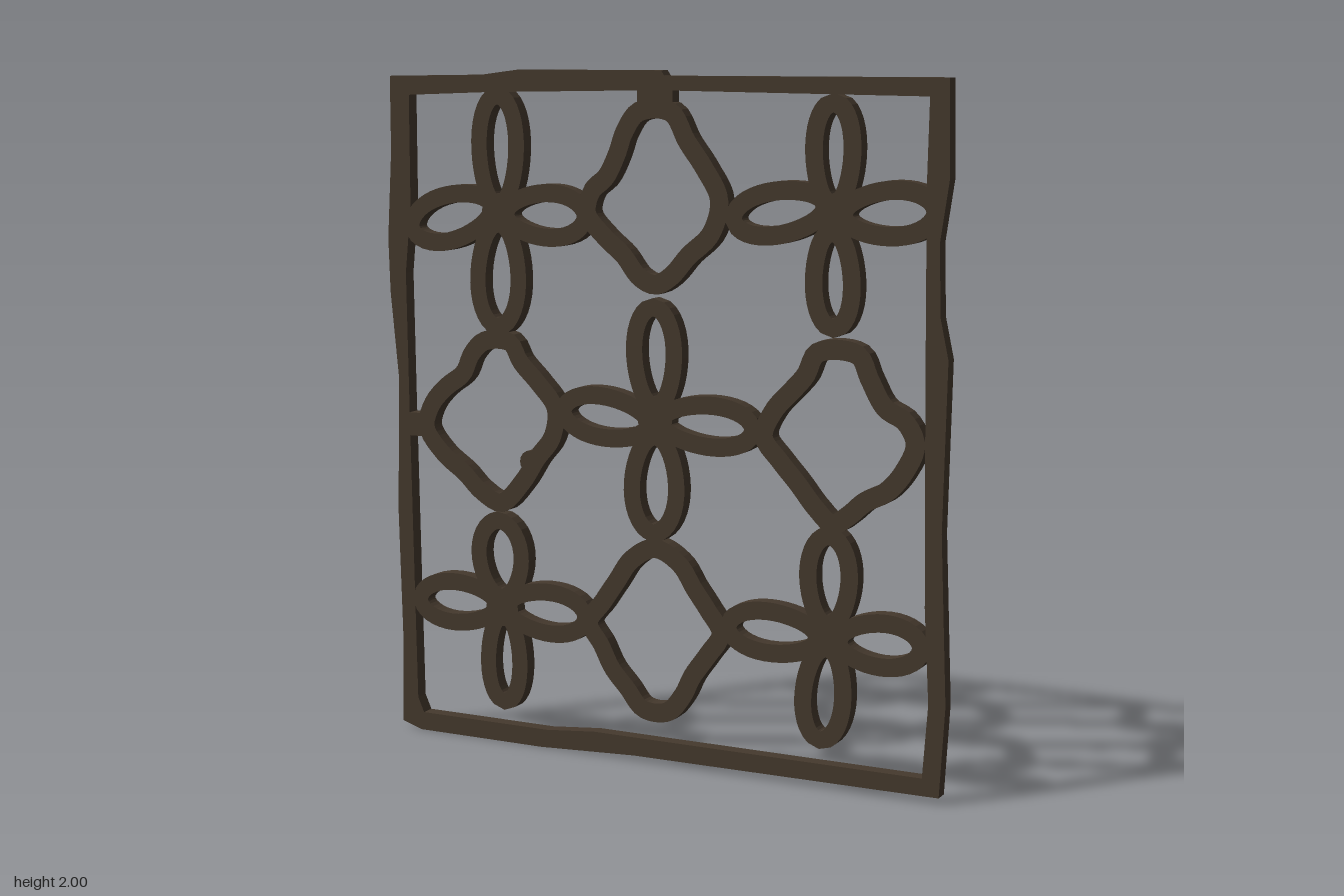
import * as THREE from 'three';

const DEPTH = 0.042;
const material = new THREE.MeshStandardMaterial({ color: 0x45392d, flatShading: true });
const vec = (list) => list.map(([x, y]) => new THREE.Vector2(x, y));

// flat plate cut from a clockwise outline, with a clockwise opening that is
// turned counter-clockwise so its walls face into the opening
function plate(name, outer, opening) {
  const shape = new THREE.Shape(outer);
  shape.holes.push(new THREE.Path([...opening].reverse()));
  const geo = new THREE.ExtrudeGeometry(shape, { depth: DEPTH, bevelEnabled: false });
  geo.translate(0, 0, -DEPTH / 2);
  const mesh = new THREE.Mesh(geo, material);
  mesh.name = name;
  return mesh;
}

// shift a closed clockwise loop outwards by d (negative = inwards)
function offset(loop, d) {
  const n = loop.length;
  return loop.map((p, i) => {
    const t = loop[(i + 1) % n].clone().sub(loop[(i + n - 1) % n]).normalize();
    return new THREE.Vector2(p.x - t.y * d, p.y + t.x * d);
  });
}

// wavy diamond ring following a closed centre line
function diamond(name, points) {
  const curve = new THREE.CatmullRomCurve3(
    points.map(([x, y]) => new THREE.Vector3(x, y, 0)), true, 'centripetal');
  const loop = curve.getSpacedPoints(80).slice(0, -1).map((p) => new THREE.Vector2(p.x, p.y));
  return plate(name, offset(loop, 0.028), offset(loop, -0.028));
}

// petal ring around a leaf-shaped opening running from base to tip
function petal(name, [x0, y0, x1, y1, half]) {
  const a = new THREE.Vector2(x1 - x0, y1 - y0).multiplyScalar(0.5);
  const side = new THREE.Vector2(-a.y, a.x).normalize();
  const opening = [];
  for (let i = 0; i < 32; i++) {
    const t = (-i / 32) * Math.PI * 2;
    const s = Math.sin(t);
    const w = half * Math.sign(s) * Math.abs(s) ** 1.25 * (1 + 0.15 * Math.cos(t));
    opening.push(new THREE.Vector2((x0 + x1) / 2, (y0 + y1) / 2)
      .addScaledVector(a, Math.cos(t)).addScaledVector(side, w));
  }
  return plate(name, offset(opening, 0.052), opening);
}

function disc(name, x, y, r) {
  const geo = new THREE.CylinderGeometry(r, r, DEPTH, 16).rotateX(Math.PI / 2);
  const mesh = new THREE.Mesh(geo, material);
  mesh.name = name;
  mesh.position.set(x, y, 0);
  return mesh;
}

function bar(name, x, y, w, h) {
  const mesh = new THREE.Mesh(new THREE.BoxGeometry(w, h, DEPTH), material);
  mesh.name = name;
  mesh.position.set(x, y, 0);
  return mesh;
}

// flower: centre, then the openings of the top, bottom, right and left petals
const FLOWERS = {
  upperRightFlower: [-0.51, 1.59,
    [-0.51, 1.64, -0.51, 1.9, 0.036], [-0.51, 1.53, -0.515, 1.28, 0.042],
    [-0.56, 1.6, -0.78, 1.54, 0.04], [-0.455, 1.585, -0.25, 1.585, 0.038]],
  upperLeftFlower: [0.54, 1.605,
    [0.54, 1.67, 0.54, 1.89, 0.03], [0.54, 1.54, 0.545, 1.33, 0.03],
    [0.49, 1.635, 0.27, 1.595, 0.034], [0.6, 1.615, 0.81, 1.63, 0.036]],
  centreFlower: [0, 1.01,
    [0, 1.08, -0.005, 1.31, 0.037], [0, 0.94, -0.005, 0.71, 0.045],
    [-0.05, 1, -0.27, 1.02, 0.034], [0.05, 1.01, 0.28, 1.005, 0.033]],
  lowerRightFlower: [-0.51, 0.41,
    [-0.51, 0.47, -0.52, 0.65, 0.046], [-0.505, 0.36, -0.505, 0.15, 0.028],
    [-0.56, 0.415, -0.77, 0.41, 0.036], [-0.465, 0.415, -0.255, 0.41, 0.036]],
  lowerLeftFlower: [0.54, 0.445,
    [0.54, 0.5, 0.54, 0.7, 0.036], [0.535, 0.38, 0.52, 0.165, 0.034],
    [0.48, 0.43, 0.26, 0.435, 0.034], [0.6, 0.43, 0.79, 0.435, 0.036]],
};

// centre lines, clockwise from the top
const DIAMONDS = {
  topDiamond: [[-.05, 1.885], [.05, 1.885], [.1, 1.805], [.155, 1.73], [.2, 1.645], [.175, 1.55],
    [.105, 1.485], [.05, 1.425], [0, 1.4], [-.05, 1.42], [-.1, 1.48], [-.16, 1.53],
    [-.215, 1.595], [-.2, 1.66], [-.155, 1.7], [-.12, 1.765], [-.095, 1.83]],
  bottomDiamond: [[0, .64], [.08, .6], [.125, .535], [.17, .475], [.21, .41], [.17, .345],
    [.12, .275], [.09, .215], [.04, .16], [-.04, .16], [-.09, .215], [-.14, .27],
    [-.175, .335], [-.215, .4], [-.17, .465], [-.125, .53], [-.075, .6]],
  rightDiamond: [[-.56, 1.21], [-.475, 1.21], [-.44, 1.155], [-.38, 1.095], [-.325, 1.025],
    [-.335, .94], [-.385, .875], [-.435, .8], [-.51, .73], [-.58, .76], [-.635, .81],
    [-.71, .865], [-.765, .94], [-.745, 1.01], [-.695, 1.065], [-.635, 1.11], [-.605, 1.17]],
  leftDiamond: [[.5, 1.235], [.62, 1.235], [.655, 1.17], [.7, 1.095], [.76, 1.06], [.79, 1],
    [.76, .925], [.71, .865], [.645, .83], [.6, .79], [.55, .76], [.5, .8], [.445, .865],
    [.39, .925], [.34, .99], [.37, 1.065], [.42, 1.12], [.465, 1.17]],
};

// slightly uneven outer frame
const FRAME_OUTER = [[-.875, 1.98], [-.56, 1.985], [-.44, 2], [.02, 2], [.03, 1.985], [.87, 1.985],
  [.875, 1.72], [.85, 1.55], [.855, 1.35], [.88, 1.235], [.87, .76], [.89, .28], [.875, .02],
  [-.07, .015], [-.38, 0], [-.8, 0], [-.865, .02], [-.86, .28], [-.87, .68], [-.86, 1.08],
  [-.885, 1.34], [-.89, 1.5], [-.875, 1.76]];
const FRAME_INNER = [[-.81, 1.925], [-.55, 1.935], [0, 1.945], [.815, 1.935], [.81, 1.7],
  [.815, 1.24], [.82, .86], [.825, .55], [.84, .28], [.825, .07], [-.2, .07], [-.36, .055],
  [-.79, .055], [-.81, .1], [-.815, .39], [-.82, .7], [-.825, 1.02], [-.83, 1.4],
  [-.81, 1.6], [-.81, 1.75]];

export function createModel() {
  const model = new THREE.Group();
  model.name = 'latticePanel';
  model.add(plate('frame', vec(FRAME_OUTER), vec(FRAME_INNER)));

  for (const [name, points] of Object.entries(DIAMONDS)) model.add(diamond(name, points));

  for (const [name, [x, y, ...petals]] of Object.entries(FLOWERS)) {
    const flower = new THREE.Group();
    flower.name = name;
    const names = ['topPetal', 'bottomPetal', 'rightPetal', 'leftPetal'];
    petals.forEach((p, i) => flower.add(petal(names[i], p)));
    flower.add(disc('flowerCentre', x, y, 0.055));
    model.add(flower);
  }

  // short links to the frame and a small knob on one diamond
  model.add(bar('topLink', 0, 1.925, 0.11, 0.06));
  model.add(bar('sideLink', -0.805, 0.945, 0.07, 0.07));
  model.add(disc('knob', -0.41, 0.86, 0.034));
  return model;
}
